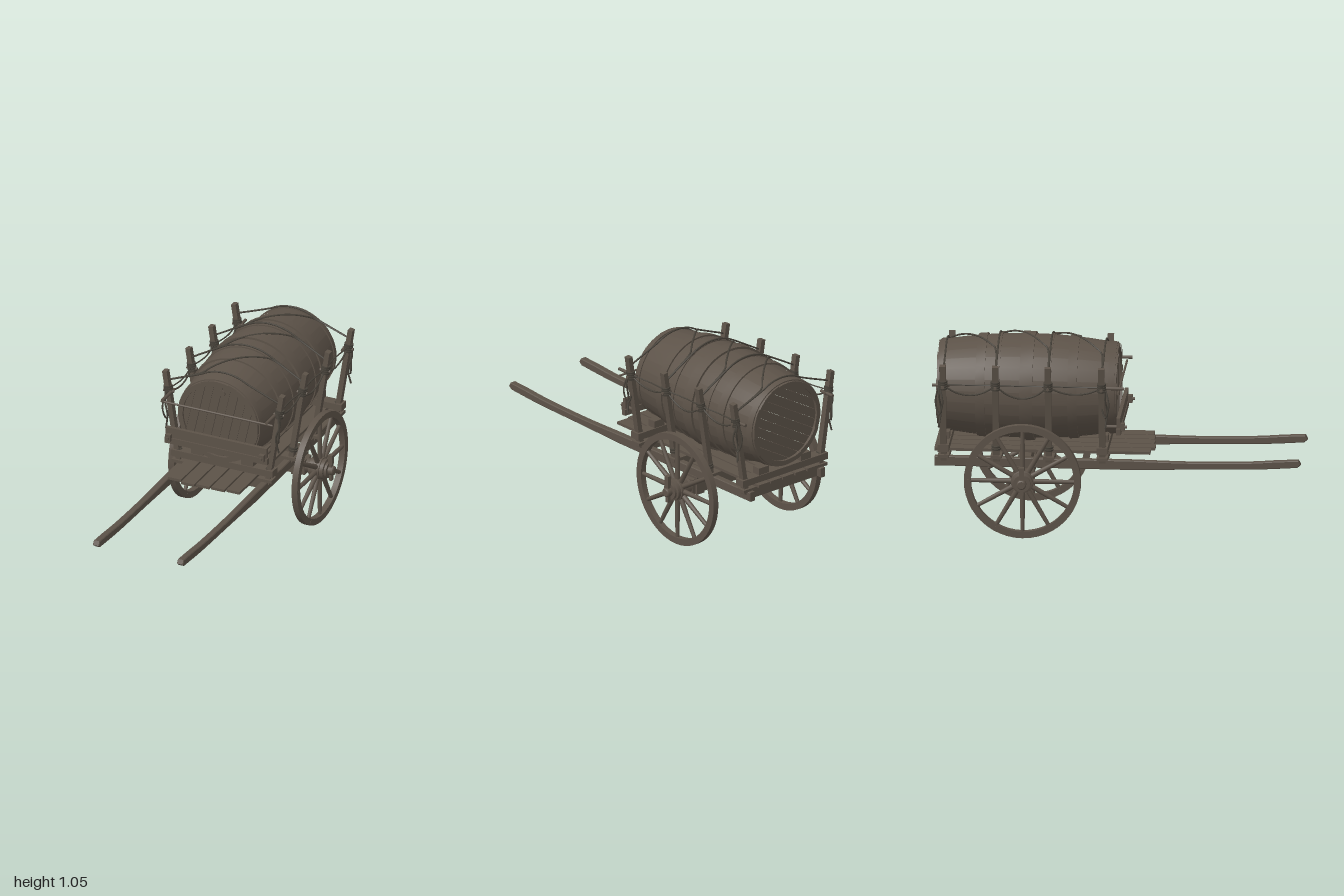
import * as THREE from 'three';
import { toCreasedNormals } from 'three/addons/utils/BufferGeometryUtils.js';

const wood = new THREE.MeshStandardMaterial({ color: 0x5c5248 });
wood.name = 'weathered wood';
const hemp = new THREE.MeshStandardMaterial({ color: 0x47423a });
hemp.name = 'dark rope';

const V = (x, y, z) => new THREE.Vector3(x, y, z);
const V2 = (x, y) => new THREE.Vector2(x, y);
const BARREL_Y = 0.75, BARREL_Z = -0.49, HALF = 0.49;
const STAKES = [-0.075, -0.365, -0.65, -0.935];
const barrelRadius = (s) => 0.283 - 0.045 * (s / HALF) ** 2;

function add(parent, name, geometry, x = 0, y = 0, z = 0, material = wood) {
  const mesh = new THREE.Mesh(geometry, material);
  mesh.name = name;
  mesh.position.set(x, y, z);
  parent.add(mesh);
  return mesh;
}
const box = (p, name, w, h, d, x, y, z) => add(p, name, new THREE.BoxGeometry(w, h, d), x, y, z);

// Aims a y-axis geometry from a to b
function between(parent, name, a, b, makeGeometry, material = wood) {
  const dir = b.clone().sub(a);
  const mid = a.clone().add(b).multiplyScalar(0.5);
  const mesh = add(parent, name, makeGeometry(dir.length()), mid.x, mid.y, mid.z, material);
  mesh.quaternion.setFromUnitVectors(V(0, 1, 0), dir.normalize());
  return mesh;
}
const rope = (parent, name, points, r = 0.005) =>
  add(parent, name, new THREE.TubeGeometry(new THREE.CatmullRomCurve3(points), 40, r, 6), 0, 0, 0, hemp);

// Lathe with sharp edges, its axis turned to z or x
function turned(points, segments, axis, start = 0, length = Math.PI * 2) {
  const g = new THREE.LatheGeometry(points.map(([r, y]) => V2(r, y)), segments, start, length);
  if (axis === 'z') g.rotateX(Math.PI / 2);
  else g.rotateZ(-Math.PI / 2);
  return toCreasedNormals(g, 0.6);
}

// Round head cut into parallel boards
function barrelHead(parent, name, z, tilt) {
  const R = 0.222, n = 9;
  const head = new THREE.Group();
  head.name = name;
  for (let i = 0; i < n; i++) {
    const u0 = -R + (2 * R * i) / n + 0.001, u1 = -R + (2 * R * (i + 1)) / n - 0.001;
    const top = [], bottom = [];
    for (let k = 0; k <= 5; k++) {
      const u = u0 + ((u1 - u0) * k) / 5, h = Math.sqrt(R * R - u * u);
      bottom.push(V2(u, -h));
      top.unshift(V2(u, h));
    }
    const g = new THREE.ExtrudeGeometry(new THREE.Shape([...bottom, ...top]), { depth: 0.02, bevelEnabled: false });
    add(head, 'headBoard', g, 0, 0, -0.01 + (i % 2) * 0.002);
  }
  head.rotation.z = tilt;
  head.position.z = z;
  parent.add(head);
}

function makeBarrel() {
  const barrel = new THREE.Group();
  barrel.name = 'barrel';
  const profile = (inset, end) => {
    const p = [[0.213, -end + 0.05], [0.213, -end]];
    for (let k = 0; k <= 12; k++) {
      const s = -end + (2 * end * k) / 12;
      p.push([barrelRadius(s) - inset, s]);
    }
    return [...p, [0.213, end], [0.213, end - 0.05]];
  };
  add(barrel, 'core', turned(profile(0.006, 0.484), 48, 'z'));
  // Staves with narrow gaps
  const n = 26, step = (Math.PI * 2) / n;
  for (let i = 0; i < n; i++)
    add(barrel, 'stave', turned(profile(0, HALF - (i % 3) * 0.002), 2, 'z', i * step, step * 0.975));
  // Hoops follow the bulge
  for (const [s, w, t] of [[0, 0.07, 0.012], [0.25, 0.05, 0.009], [-0.25, 0.05, 0.009],
    [0.46, 0.035, 0.006], [-0.46, 0.035, 0.006], [0.13, 0.012, 0.006], [-0.15, 0.012, 0.006]]) {
    const a = s - w / 2, b = s + w / 2;
    add(barrel, 'hoop', turned([[barrelRadius(a) - 0.004, a], [barrelRadius(a) + t, a],
      [barrelRadius(b) + t, b], [barrelRadius(b) - 0.004, b]], 48, 'z'));
  }
  barrelHead(barrel, 'frontHead', 0.465, -0.22);
  barrelHead(barrel, 'backHead', -0.465, -1.05);
  add(barrel, 'bung', new THREE.CylinderGeometry(0.018, 0.018, 0.012, 20).rotateX(Math.PI / 2), 0.02, 0.17, 0.478);
  barrel.position.set(0, BARREL_Y, BARREL_Z);
  return barrel;
}

function makeWheel(side) {
  const wheel = new THREE.Group();
  wheel.name = side > 0 ? 'leftWheel' : 'rightWheel';
  add(wheel, 'rim', turned([[0.28, -0.017], [0.317, -0.017], [0.317, 0.017], [0.28, 0.017], [0.28, -0.017]], 48, 'x'));
  for (let i = 0; i < 12; i++) {
    const a = (i * Math.PI) / 6, c = Math.cos(a), s = Math.sin(a);
    between(wheel, 'spoke', V(0, 0.03 * c, 0.03 * s), V(0, 0.287 * c, 0.287 * s),
      (l) => new THREE.CylinderGeometry(0.011, 0.015, l, 8));
    if (i % 2) box(wheel, 'rimJoint', 0.036, 0.012, 0.012, 0, 0.298 * c, 0.298 * s);
  }
  // Stepped hub, outer end towards +x
  add(wheel, 'hub', turned([[0, -0.055], [0.04, -0.055], [0.04, -0.045], [0.057, -0.043], [0.057, -0.022],
    [0.062, -0.02], [0.062, 0.02], [0.057, 0.022], [0.057, 0.042], [0.046, 0.045], [0.046, 0.058], [0, 0.058]], 24, 'x'));
  add(wheel, 'axleEnd', turned([[0, 0.05], [0.026, 0.05], [0.026, 0.085], [0.02, 0.09], [0, 0.09]], 12, 'x'));
  box(wheel, 'linchpin', 0.016, 0.15, 0.02, 0.068, 0.015, 0);
  box(wheel, 'linchpinHead', 0.024, 0.055, 0.026, 0.068, 0.067, 0);
  wheel.position.set(side * 0.37, 0.317, -0.5);
  if (side < 0) wheel.rotation.y = Math.PI;
  return wheel;
}

// Long side beam curving up to a handle
function makeShaft(side) {
  const shape = new THREE.Shape();
  shape.moveTo(-0.98, 0.37);
  shape.lineTo(0.1, 0.366);
  shape.splineThru([V2(0.4, 0.375), V2(0.75, 0.383), V2(0.98, 0.397)]);
  shape.lineTo(0.995, 0.41);
  shape.lineTo(0.985, 0.428);
  shape.splineThru([V2(0.88, 0.423), V2(0.7, 0.411), V2(0.4, 0.405), V2(0.1, 0.41)]);
  shape.lineTo(-0.98, 0.415);
  const g = new THREE.ExtrudeGeometry(shape, { depth: 0.03, bevelSize: 0.004, bevelThickness: 0.004, bevelSegments: 1 });
  g.rotateY(-Math.PI / 2).translate(0.015, 0, 0);
  const mesh = new THREE.Mesh(toCreasedNormals(g, 0.5), wood);
  mesh.name = side > 0 ? 'leftShaft' : 'rightShaft';
  mesh.position.x = side * 0.252;
  return mesh;
}

function makeBed() {
  const bed = new THREE.Group();
  bed.name = 'cartBed';
  [0.18, 0.2, 0.19, 0.185, 0.175].forEach((front, i) =>
    box(bed, 'floorPlank', 0.078, 0.015, front + 0.99, -0.174 + i * 0.087, 0.442, (front - 0.99) / 2));
  for (const z of STAKES) {
    box(bed, 'crossSlat', 0.6, 0.017, 0.06, 0, 0.425, z);
    box(bed, 'crossBeam', 0.48, 0.045, 0.045, 0, 0.393, z);
  }
  // Sleepers and chocks under the barrel ends
  for (const z of [STAKES[0], STAKES[3]]) {
    box(bed, 'sleeper', 0.61, 0.038, 0.06, 0, 0.472, z);
    for (const s of [-1, 1]) box(bed, 'chock', 0.07, 0.045, 0.05, s * 0.15, 0.508, z);
  }
  box(bed, 'axle', 0.6, 0.085, 0.085, 0, 0.318, -0.5);
  box(bed, 'bolster', 0.47, 0.06, 0.07, 0, 0.39, -0.5);
  for (const s of [-1, 1]) {
    add(bed, 'axleNeck', new THREE.CylinderGeometry(0.032, 0.044, 0.05, 12).rotateZ(-s * Math.PI / 2), s * 0.32, 0.318, -0.5);
    box(bed, 'axleBracket', 0.052, 0.1, 0.11, s * 0.25, 0.322, -0.5);
  }
  // Front boards and bar
  box(bed, 'frontUpperBoard', 0.605, 0.058, 0.02, 0, 0.632, 0.014);
  box(bed, 'frontLowerBoard', 0.615, 0.035, 0.026, 0, 0.583, 0.014);
  between(bed, 'frontBar', V(-0.335, 0.806, 0.014), V(0.335, 0.806, 0.014), (l) => new THREE.CylinderGeometry(0.006, 0.006, l, 8));
  return bed;
}

// Leaning stakes with lashings on one side
function makeStakes(side) {
  const group = new THREE.Group();
  group.name = side > 0 ? 'leftStakes' : 'rightStakes';
  const at = (y, z) => V(side * (0.265 + ((y - 0.41) * 0.085) / 0.54), y, z);
  STAKES.forEach((z, i) => {
    between(group, 'stake', at(0.4, z), at(0.95, z), (l) => new THREE.BoxGeometry(0.028, l, 0.034));
    for (const y of [0.47, 0.485, 0.82, 0.833, 0.846, 0.858])
      between(group, 'lashing', at(y - 0.005, z), at(y + 0.005, z), (l) => new THREE.CylinderGeometry(0.025, 0.025, l, 10), hemp);
    between(group, 'peg', V(side * 0.3, 0.83, z), V(side * 0.362, 0.83, z), (l) => new THREE.CylinderGeometry(0.009, 0.009, l, 8));
    // Slack rope to the next stake
    if (i < 3) {
      const z2 = STAKES[i + 1], dip = [0.04, 0.07, 0.055][i];
      const p = [0, 0.25, 0.5, 0.75, 1].map((t) => at(0.835 - dip * 4 * t * (1 - t), z + (z2 - z) * t));
      rope(group, 'slackRope', p);
      rope(group, 'tautRope', [at(0.84, z), V(side * 0.318, 0.835, (z + z2) / 2), at(0.84, z2)], 0.004);
    }
  });
  // End pegs, posts and hanging rope tails
  for (const [z0, z1, y] of [[-0.1, 0.045, 0.83], [-0.9, -0.995, 0.83], [-0.08, 0.06, 0.607]])
    between(group, 'endPeg', V(side * (y > 0.7 ? 0.312 : 0.28), y, z0), V(side * (y > 0.7 ? 0.312 : 0.28), y, z1),
      (l) => new THREE.CylinderGeometry(0.009, 0.009, l, 8));
  box(group, 'pegHead', 0.03, 0.04, 0.025, side * 0.28, 0.607, 0.035);
  for (const z of [-0.055, -0.955]) {
    rope(group, 'ropeTail', [at(0.85, z), V(side * 0.345, 0.78, z), V(side * 0.325, 0.7, z + 0.01), V(side * 0.338, 0.61, z)]);
    rope(group, 'ropeLoop', [at(0.84, z), V(side * 0.35, 0.74, z + 0.02), V(side * 0.335, 0.67, z), V(side * 0.322, 0.74, z - 0.02), at(0.84, z)]);
  }
  return group;
}

// Rope from the right stake at z0, over the barrel, to the left stake at z1
function overRope(parent, z0, z1) {
  const pts = [V(-0.335, 0.895, z0)];
  for (let k = 0; k <= 8; k++) {
    const a = Math.PI * (0.67 - (0.34 * k) / 8);
    const c = Math.cos(a) / 0.335;
    const z = z0 + (z1 - z0) * (c * 0.295 + 0.5 + c * 0.0) ;
    const zc = THREE.MathUtils.clamp(z, Math.min(z0, z1), Math.max(z0, z1));
    const r = barrelRadius(zc - BARREL_Z) + 0.012;
    pts.push(V(r * Math.cos(a), BARREL_Y + r * Math.sin(a), zc));
  }
  pts.push(V(0.335, 0.895, z1));
  rope(parent, 'tieRope', pts);
}

export function createModel() {
  const cart = new THREE.Group();
  cart.name = 'barrelCart';
  cart.add(makeBarrel(), makeBed());
  for (const side of [1, -1]) cart.add(makeWheel(side), makeShaft(side), makeStakes(side));
  for (let i = 0; i < 3; i++) overRope(cart, STAKES[i], STAKES[i + 1]);
  for (const z of STAKES) overRope(cart, z, z);
  return cart;
}
